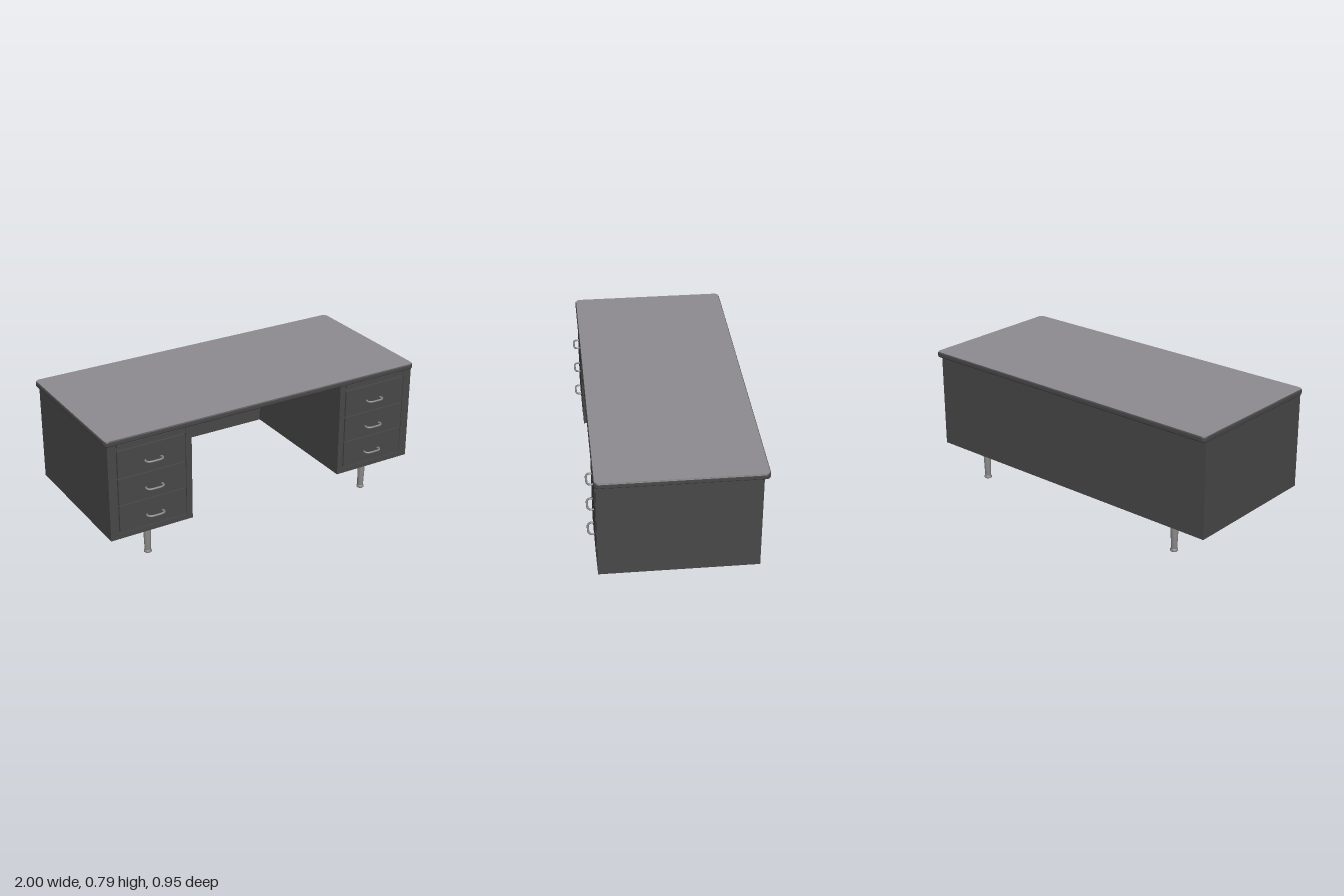
import * as THREE from 'three';

const mat = (name, color) => {
  const m = new THREE.MeshStandardMaterial({ color });
  m.name = name;
  return m;
};

export function createModel() {
  const desk = new THREE.Group();
  desk.name = 'desk';
  const steel = mat('dark painted steel', 0x484848);
  const laminate = mat('grey laminate', 0x8e8c90);
  const metal = mat('brushed metal', 0x868686);

  const add = (parent, name, geometry, material, x = 0, y = 0, z = 0) => {
    const mesh = new THREE.Mesh(geometry, material);
    mesh.name = name;
    mesh.position.set(x, y, z);
    parent.add(mesh);
    return mesh;
  };
  // box given by its lower and upper corners
  const box = (parent, name, material, x0, x1, y0, y1, z0, z1) =>
    add(parent, name, new THREE.BoxGeometry(x1 - x0, y1 - y0, z1 - z0), material,
      (x0 + x1) / 2, (y0 + y1) / 2, (z0 + z1) / 2);

  // rounded rectangle centred on the origin
  const roundedRect = (w, d, r) => {
    const s = new THREE.Shape();
    const x = w / 2 - r, y = d / 2 - r;
    s.absarc(x, y, r, 0, Math.PI / 2);
    s.absarc(-x, y, r, Math.PI / 2, Math.PI);
    s.absarc(-x, -y, r, Math.PI, Math.PI * 1.5);
    s.absarc(x, -y, r, Math.PI * 1.5, Math.PI * 2);
    return s;
  };

  // desktop: dark rounded edge with a light surface laid on it
  const topZ = -0.0165;
  const bevel = 0.009;
  const edge = new THREE.ExtrudeGeometry(roundedRect(2 - 2 * bevel, 0.913 - 2 * bevel, 0.02), {
    depth: 0.033 - 2 * bevel, bevelEnabled: true, bevelSize: bevel,
    bevelThickness: bevel, bevelSegments: 4, curveSegments: 6,
  });
  edge.rotateX(-Math.PI / 2);
  add(desk, 'desktopEdge', edge, steel, 0, 0.755 + bevel, topZ);
  const surface = new THREE.ExtrudeGeometry(roundedRect(1.99, 0.903, 0.024), {
    depth: 0.004, bevelEnabled: false, curveSegments: 6,
  });
  surface.rotateX(-Math.PI / 2);
  add(desk, 'desktopSurface', surface, laminate, 0, 0.785, topZ);

  // back panel closing the knee space
  box(desk, 'backPanel', steel, -0.5, 0.5, 0.19, 0.757, -0.44, -0.425);

  // frame with one opening, drawn around the pedestal's centre line
  const frameShape = new THREE.Shape();
  frameShape.moveTo(-0.25, 0.19).lineTo(0.25, 0.19).lineTo(0.25, 0.757).lineTo(-0.25, 0.757).closePath();
  const opening = new THREE.Path();
  opening.moveTo(-0.215, 0.222).lineTo(-0.215, 0.754).lineTo(0.2, 0.754).lineTo(0.2, 0.222).closePath();
  frameShape.holes.push(opening);

  // shared leg profile, tapering to a small foot
  const legProfile = [[0, 0], [0.019, 0], [0.022, 0.003], [0.022, 0.011], [0.018, 0.015],
    [0.0175, 0.018], [0.024, 0.183], [0, 0.183]].map(([x, y]) => new THREE.Vector2(x, y));
  const legGeometry = new THREE.LatheGeometry(legProfile, 24);

  // bow-shaped drawer pull
  const pullPath = new THREE.CatmullRomCurve3([
    [-0.048, 0, 0], [-0.05, 0, 0.02], [-0.038, 0, 0.033], [0, 0, 0.0365],
    [0.038, 0, 0.033], [0.05, 0, 0.02], [0.048, 0, 0],
  ].map((p) => new THREE.Vector3(...p)));
  const pullGeometry = new THREE.TubeGeometry(pullPath, 28, 0.006, 8);

  for (const side of [-1, 1]) {
    const pedestal = new THREE.Group();
    pedestal.name = side > 0 ? 'leftPedestal' : 'rightPedestal';
    pedestal.position.x = side * 0.735;
    desk.add(pedestal);

    box(pedestal, 'cabinet', steel, -0.25, 0.25, 0.19, 0.757, -0.44, 0.415);
    const frame = new THREE.ExtrudeGeometry(frameShape, { depth: 0.015, bevelEnabled: false });
    const frameMesh = add(pedestal, 'frontFrame', frame, steel, 0, 0, 0.415);
    // the wider stile sits on the outer side
    const shift = side > 0 ? -0.009 : 0.015;
    if (side < 0) {
      frameMesh.rotation.y = Math.PI;
      frameMesh.position.z = 0.43;
    }
    const cx = side > 0 ? -0.0075 : 0.0075;

    // pull-out writing board above the drawers
    box(pedestal, 'writingBoard', steel, cx - 0.202, cx + 0.202, 0.733, 0.752, 0.3, 0.435);
    box(pedestal, 'boardRail', steel, cx - 0.2075, cx + 0.2075, 0.721, 0.729, 0.41, 0.43);

    // three drawers with pulls
    [[0.228, 0.388, 0.295], [0.394, 0.549, 0.46], [0.555, 0.715, 0.625]].forEach(([y0, y1, pullY]) => {
      box(pedestal, 'drawerFront', steel, cx - 0.202, cx + 0.202, y0, y1, 0.41, 0.433);
      add(pedestal, 'drawerPull', pullGeometry, metal, -side * 0.015, pullY, 0.43);
    });

    // legs and their mounting plates
    for (const z of [0.343, -0.35]) {
      add(pedestal, 'leg', legGeometry, metal, -side * 0.01, 0, z);
      box(pedestal, 'legPlate', metal, -side * 0.01 - 0.047, -side * 0.01 + 0.047, 0.184, 0.1905, z - 0.047, z + 0.047);
    }
  }
  return desk;
}
